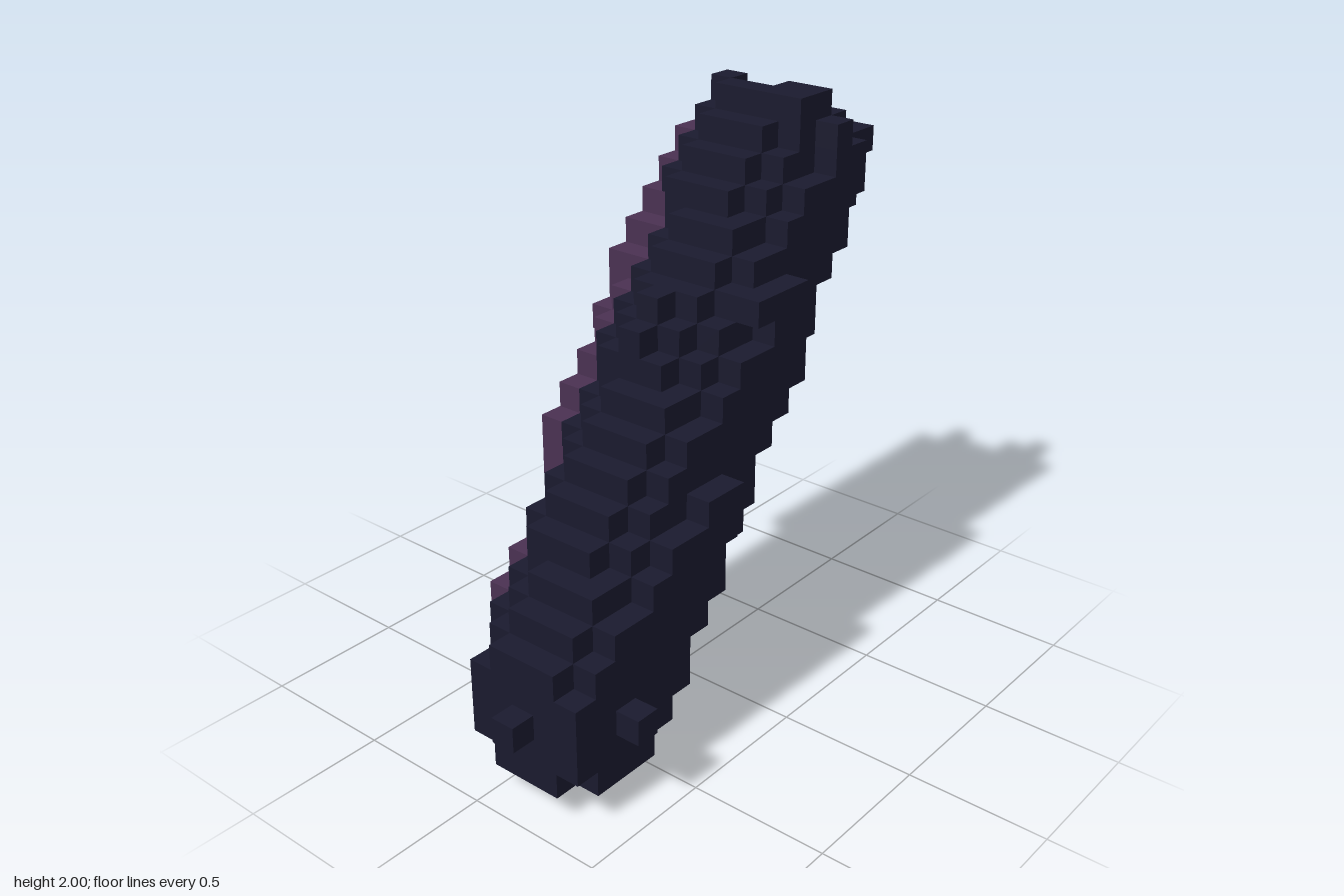
import * as THREE from 'three';

const CELL = 1 / 11; // 22 x 22 x 10 cells
const SIZE = [22, 22, 10];

// For each z layer: x from, x to, y from, y to
const LAYERS = [
  [12, 18, 13, 19], [8, 18, 8, 21], [4, 18, 4, 21], [3, 18, 3, 21], [1, 20, 1, 21],
  [1, 20, 1, 21], [0, 19, 0, 20], [1, 14, 1, 15], [1, 9, 1, 9], [3, 3, 3, 3],
];

// Small knobs and lips on the shaft: x from, x to, y, z from, z to
const KNOBS = [
  [13, 14, 9, 4, 4], [9, 10, 14, 4, 4], [10, 10, 15, 4, 4], // side knobs
  [12, 14, 15, 7, 7], [14, 14, 12, 7, 7], // front step
  [17, 18, 21, 4, 5], [18, 18, 20, 6, 6], [21, 21, 18, 4, 4], [21, 21, 19, 5, 5], // high end
];

// Squared distance to the slanted axis, rounded off at the low end
function axisDistance(x, y, z) {
  const v = [x - 3, y - 3, z - 6];
  const dot = 15 * v[0] + 15 * v[1] - 3 * v[2];
  const len = v[0] ** 2 + v[1] ** 2 + v[2] ** 2;
  return dot < 0 ? { d: len, low: true } : { d: len - dot * dot / 459, low: false };
}

// Hollows at the back of the high end, beside the strip
function isCarved(x, y, z) {
  const side = x - y;
  if (z === 0) return side > -1;
  if (z === 1) return (x < 15 && side < -2) || (x >= 17 && side > -1) || (x === 16 && side > 1);
  if (z === 2) return (x === 18 && (y < 19 || y === 21)) || (x === 17 && y < 15);
  return z === 3 && x === 18 && y === 21;
}

// 0 = empty, 1 = dark shaft, 2 = purple strip
function cellAt(x, y, z) {
  if (x < 0 || y < 0 || z < 0 || x >= SIZE[0] || y >= SIZE[1] || z >= SIZE[2]) return 0;
  for (const [x0, x1, ky, z0, z1] of KNOBS) {
    if (y === ky && x >= x0 && x <= x1 && z >= z0 && z <= z1) return 1;
  }
  const [x0, x1, y0, y1] = LAYERS[z];
  if (x < x0 || x > x1 || y < y0 || y > y1) return 0;
  const side = x - y;
  if (Math.abs(side) > 4 || (y >= 15 && side > 3)) return 0;
  if (x + y > 39) return 0; // slanted cut across the high end
  if (isCarved(x, y, z)) return 0;

  const { d, low } = axisDistance(x, y, z);
  const body = d <= (low ? 9.1 : 10.1);
  const strip = side <= 0 && side >= (z < 2 ? -2 : -1) && z <= 3 && y >= 4 && d > 6 && d <= 17.1;
  const ledge = side >= 1 && side <= 3 && y >= 7 && y <= 15 && z <= 2 &&
    z >= (y < 10 ? 2 : 1) && d <= 15.3;
  const tipDepth = { 16: 1, 17: 1, 18: 2, 19: 2, 20: 1 }[y] ?? -1;
  const tip = body && x >= 16 && z <= tipDepth && side >= -2;
  if (strip || tip) return 2;
  return body || ledge ? 1 : 0;
}

// Outer faces of all cells of one kind
function cellGeometry(kind) {
  const pos = [], nor = [], index = [];
  for (let x = 0; x < SIZE[0]; x++)
    for (let y = 0; y < SIZE[1]; y++)
      for (let z = 0; z < SIZE[2]; z++) {
        if (cellAt(x, y, z) !== kind) continue;
        for (let axis = 0; axis < 3; axis++)
          for (const dir of [-1, 1]) {
            const n = [0, 0, 0];
            n[axis] = dir;
            if (cellAt(x + n[0], y + n[1], z + n[2])) continue;
            const u = (axis + 1) % 3, v = (axis + 2) % 3, start = pos.length / 3;
            for (const [a, b] of [[0, 0], [1, 0], [1, 1], [0, 1]]) {
              const p = [x, y, z];
              p[axis] += dir > 0 ? 1 : 0;
              p[u] += a;
              p[v] += b;
              pos.push((p[0] - 11) * CELL, p[1] * CELL, (p[2] - 5) * CELL);
              nor.push(...n);
            }
            const quad = dir > 0 ? [0, 1, 2, 0, 2, 3] : [0, 2, 1, 0, 3, 2];
            index.push(...quad.map((i) => start + i));
          }
      }
  const geometry = new THREE.BufferGeometry();
  geometry.setAttribute('position', new THREE.Float32BufferAttribute(pos, 3));
  geometry.setAttribute('normal', new THREE.Float32BufferAttribute(nor, 3));
  geometry.setIndex(index);
  return geometry;
}

export function createModel() {
  const group = new THREE.Group();
  const parts = [['shaft', 1, 'dark navy', 0x1a1a2e], ['backStrip', 2, 'dusky purple', 0x4a3152]];
  for (const [name, kind, colourName, color] of parts) {
    const material = new THREE.MeshStandardMaterial({ color });
    material.name = colourName;
    const mesh = new THREE.Mesh(cellGeometry(kind), material);
    mesh.name = name;
    group.add(mesh);
  }
  return group;
}
